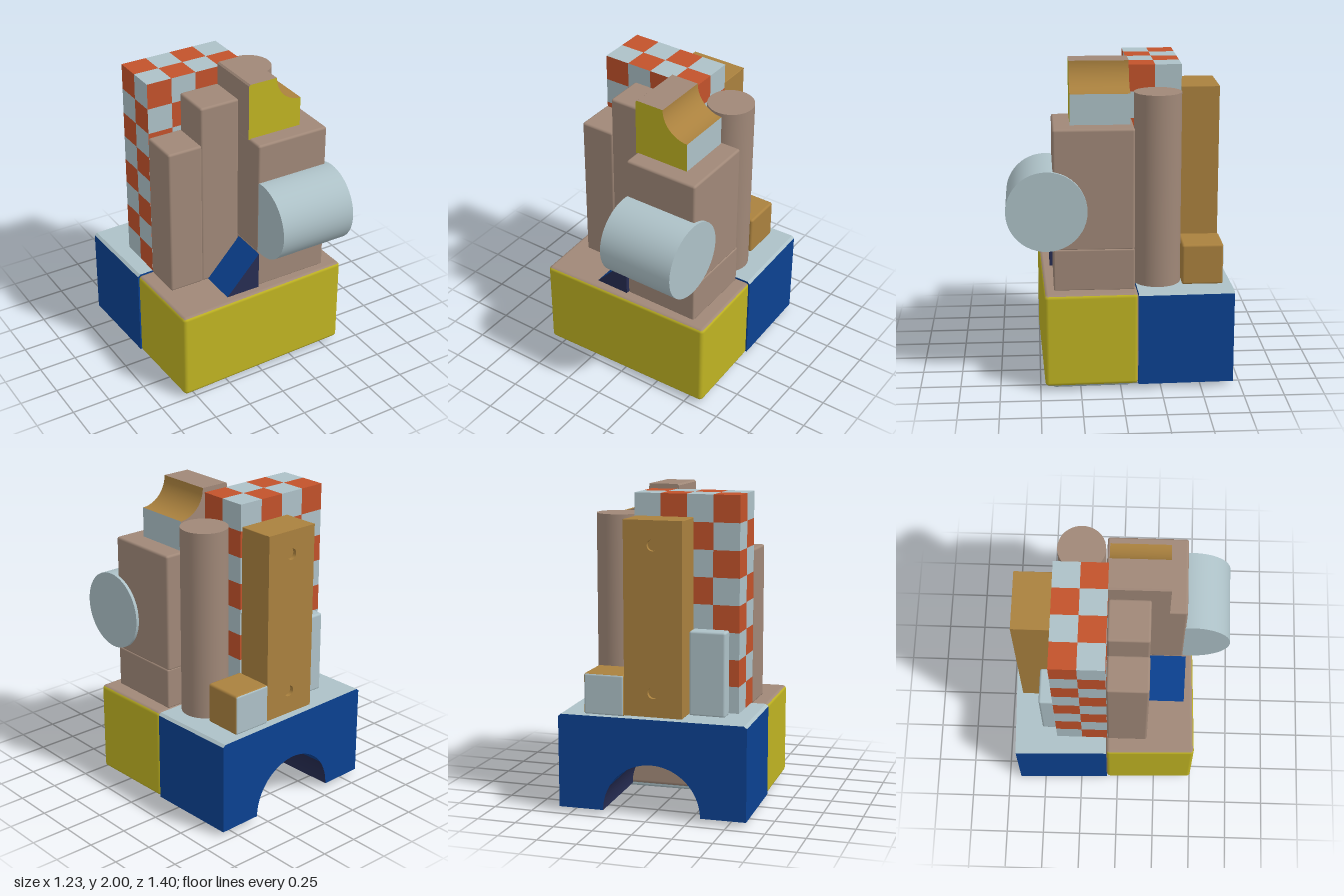
import * as THREE from 'three';
import { RoundedBoxGeometry } from 'three/addons/geometries/RoundedBoxGeometry.js';

const mat = (name, color) => {
  const m = new THREE.MeshStandardMaterial({ color });
  m.name = name;
  return m;
};

export function createModel() {
  const tan = mat('tan', 0xa08878), pale = mat('paleBlue', 0xadc1c7), yellow = mat('yellow', 0xbfb322);
  const blue = mat('blue', 0x0b4191), ochre = mat('ochre', 0xaa813e), orange = mat('orange', 0xc2522b);
  const navy = mat('navy', 0x262c52);

  const model = new THREE.Group();
  model.name = 'blockTower';

  const add = (name, geometry, material, parent = model) => {
    const mesh = new THREE.Mesh(geometry, material);
    mesh.name = name;
    parent.add(mesh);
    return mesh;
  };

  // Box given by its limits, with softly worn edges
  const box = (x0, x1, y0, y1, z0, z1, r = 0.015) =>
    new RoundedBoxGeometry(x1 - x0, y1 - y0, z1 - z0, 2, r)
      .translate((x0 + x1) / 2, (y0 + y1) / 2, (z0 + z1) / 2);

  // Prism extruded along z from a front outline
  const prism = (shape, z0, z1) =>
    new THREE.ExtrudeGeometry(shape, { depth: z1 - z0, bevelEnabled: false, curveSegments: 20 }).translate(0, 0, z0);

  // Gives each triangle the material chosen from its normal and centre
  const addPainted = (name, geometry, choose, parent = model) => {
    const g = geometry.index ? geometry.toNonIndexed() : geometry;
    const p = g.attributes.position, mats = [], t = new THREE.Triangle();
    const n = new THREE.Vector3(), c = new THREE.Vector3();
    g.clearGroups();
    for (let i = 0; i < p.count; i += 3) {
      t.setFromAttributeAndIndices(p, i, i + 1, i + 2);
      t.getNormal(n);
      t.getMidpoint(c);
      const m = choose(n, c);
      if (!mats.includes(m)) mats.push(m);
      g.addGroup(i, 3, mats.indexOf(m));
    }
    return add(name, g, mats, parent);
  };

  // Base: a solid front block and an arched back block, slightly turned
  const base = new THREE.Group();
  base.name = 'base';
  base.position.z = -0.1;
  base.rotation.y = 0.028;
  model.add(base);

  addPainted('frontBaseBlock', box(-0.597, 0.597, 0.03, 0.625, 0.008, 0.587, 0.025),
    (n) => (n.y > 0.7 || n.z < -0.7 ? tan : n.y < -0.7 ? pale : yellow), base);
  add('baseUnderside', box(-0.54, 0.54, 0, 0.05, 0.05, 0.54, 0.02), pale, base);

  const arch = new THREE.Shape();
  arch.moveTo(-0.597, 0.03);
  arch.lineTo(-0.31, 0.03);
  arch.absarc(0, 0.03, 0.31, Math.PI, 0, true);
  arch.lineTo(0.597, 0.03);
  arch.lineTo(0.597, 0.61);
  arch.lineTo(0.58, 0.625);
  arch.lineTo(-0.58, 0.625);
  arch.lineTo(-0.597, 0.61);
  addPainted('archedBaseBlock', prism(arch, -0.587, 0.008), (n, c) => {
    if (n.y > 0.6 || (n.y < -0.9 && c.y < 0.04)) return pale;
    return Math.abs(c.x) < 0.32 && Math.abs(n.z) < 0.5 && c.y < 0.2 ? navy : blue;
  }, base);

  // Checkered slab
  const checker = new THREE.BoxGeometry(0.67, 1.34, 0.33, 4, 8, 2).translate(-0.155, 1.3, -0.235);
  const faces = [[2, 8, 0], [2, 8, 0], [4, 2, 0], [4, 2, 0], [4, 8, 0], [4, 8, 1]];
  checker.clearGroups();
  let start = 0;
  for (const [cols, rows, shift] of faces) {
    for (let r = 0; r < rows; r++) {
      for (let c = 0; c < cols; c++, start += 6) checker.addGroup(start, 6, (r + c + shift) % 2);
    }
  }
  add('checkeredSlab', checker, [orange, pale]);

  // Back plank with two shallow peg holes
  const plank = new THREE.Shape();
  plank.moveTo(-0.2, 0.63);
  plank.lineTo(0.17, 0.63);
  plank.lineTo(0.17, 1.83);
  plank.lineTo(-0.2, 1.83);
  for (const y of [0.78, 1.68]) plank.holes.push(new THREE.Path().absarc(-0.015, y, 0.035, 0, Math.PI * 2, true));
  add('plankBack', prism(plank, -0.64, -0.61), ochre);
  add('plank', box(-0.2, 0.17, 0.63, 1.83, -0.615, -0.4, 0.004), ochre);

  // Small blocks behind the slab
  add('smallPaleBlock', box(-0.43, -0.2, 0.62, 1.15, -0.5, -0.4), pale);
  addPainted('smallOchreBlock', box(0.17, 0.43, 0.62, 0.88, -0.65, -0.39),
    (n) => (n.z < -0.7 ? pale : ochre));

  // Upright column
  add('column', new THREE.CylinderGeometry(0.147, 0.147, 1.21, 40).translate(0.33, 1.225, -0.24), tan);

  // Tall blocks in front
  add('leftTallBlock', box(-0.495, -0.262, 0.62, 1.61, -0.07, 0.19), tan);
  add('middleTallBlock', box(-0.268, 0, 0.62, 1.86, -0.07, 0.187), tan);
  add('rightLowBlock', box(0.005, 0.505, 0.62, 0.885, -0.09, 0.41, 0.01), tan);
  add('rightTallBlock', box(0.005, 0.5, 0.875, 1.635, -0.09, 0.41), tan);

  // Lying cylinder
  add('lyingCylinder',
    new THREE.CylinderGeometry(0.25, 0.25, 0.51, 48).rotateZ(Math.PI / 2).translate(0.265, 1.13, 0.45), pale);

  // Triangular wedge
  const wedge = new THREE.Shape();
  wedge.moveTo(-0.225, 0.625);
  wedge.lineTo(0.005, 0.625);
  wedge.lineTo(0.005, 0.875);
  addPainted('wedge', prism(wedge, 0.185, 0.43), (n) => (n.y > 0.3 ? blue : navy));

  // Top block with a scooped corner
  const scoop = new THREE.Shape();
  scoop.moveTo(0, 1.63);
  scoop.lineTo(0.37, 1.63);
  scoop.lineTo(0.37, 1.825);
  scoop.absarc(0.37, 2, 0.175, Math.PI * 1.5, Math.PI, true);
  scoop.lineTo(0.01, 2);
  scoop.lineTo(0, 1.99);
  addPainted('scoopedBlock', prism(scoop, -0.07, 0.3), (n, c) => {
    if (n.z > 0.7) return yellow;
    if (n.x > 0.7 && c.y < 1.83) return pale;
    return c.x > 0.19 && n.y > -0.5 && n.z > -0.7 ? ochre : tan;
  });

  return model;
}
